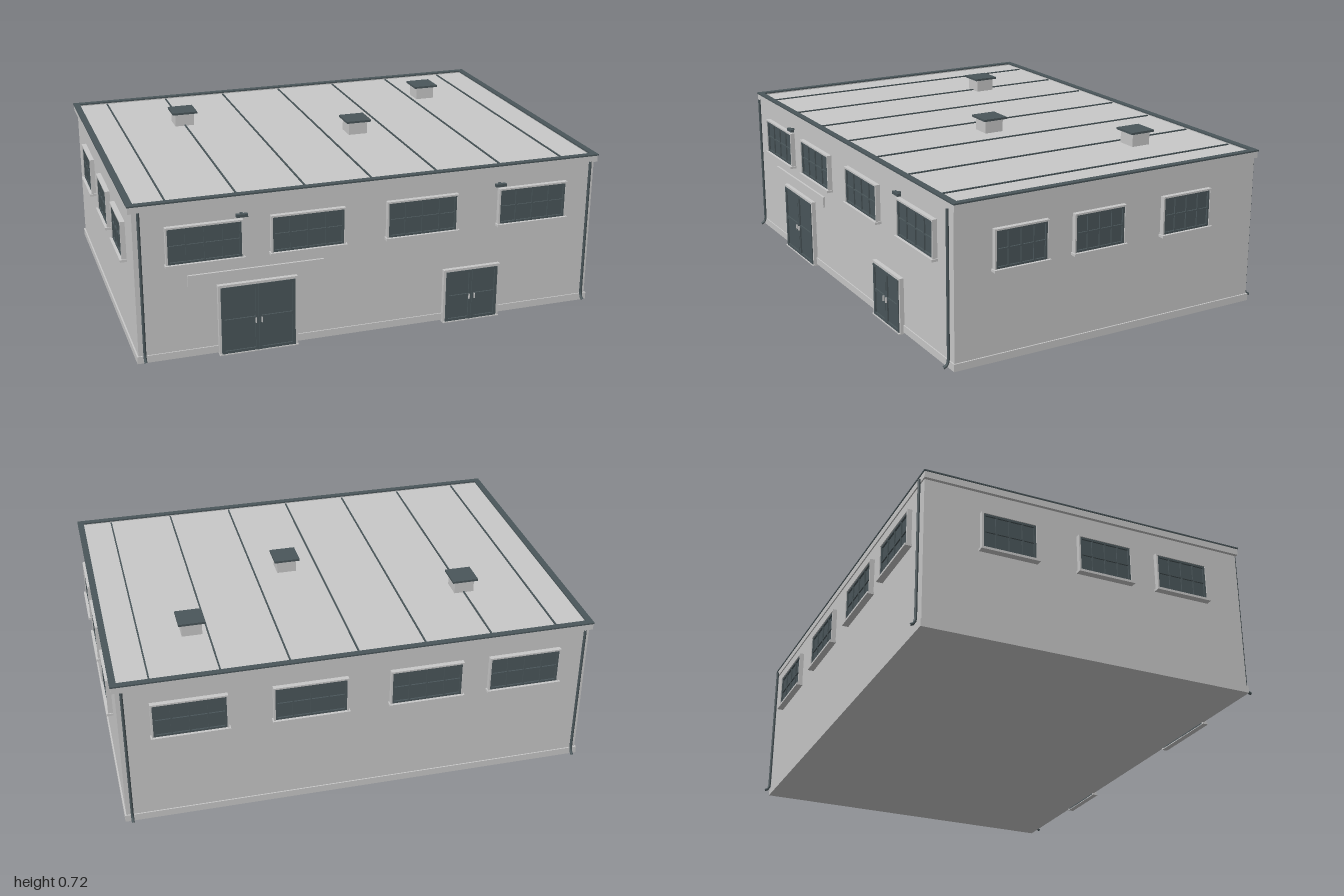
import * as THREE from 'three';

const W = 0.967, ZC = -0.008, D = 0.695; // wall half width, depth centre, half depth

const light = new THREE.MeshStandardMaterial({ color: 0xc8c8c8 });
light.name = 'pale render';
const dark = new THREE.MeshStandardMaterial({ color: 0x4a565a });
dark.name = 'slate metal';

// Box given by its low and high corners
function box(parent, name, mat, x0, x1, y0, y1, z0, z1) {
  const m = new THREE.Mesh(new THREE.BoxGeometry(x1 - x0, y1 - y0, z1 - z0), mat);
  m.position.set((x0 + x1) / 2, (y0 + y1) / 2, (z0 + z1) / 2);
  m.name = name;
  parent.add(m);
  return m;
}

// Four bars around an opening, standing on the local wall plane z = 0
function frame(parent, name, mat, w, h, t, depth) {
  const s = new THREE.Shape();
  const rect = (p, a, b) => p.moveTo(-a, -b).lineTo(a, -b).lineTo(a, b).lineTo(-a, b).closePath();
  rect(s, w / 2 + t, h / 2 + t);
  const hole = new THREE.Path();
  rect(hole, w / 2, h / 2);
  s.holes.push(hole);
  const m = new THREE.Mesh(new THREE.ExtrudeGeometry(s, { depth, bevelEnabled: false }), mat);
  m.name = name;
  parent.add(m);
}

// Window facing local +z, centred on the origin
function makeWindow(w, h) {
  const g = new THREE.Group();
  g.name = 'window';
  frame(g, 'windowSurround', light, w, h, 0.007, 0.02);
  box(g, 'glass', dark, -w / 2, w / 2, -h / 2, h / 2, 0, 0.009);
  frame(g, 'sash', dark, w - 0.016, h - 0.016, 0.008, 0.016);
  for (let i = 1; i < 4; i++) {
    const x = -w / 2 + (w * i) / 4;
    box(g, 'glazingBar', dark, x - 0.003, x + 0.003, -h / 2, h / 2, 0.009, 0.015);
  }
  box(g, 'glazingRail', dark, -w / 2, w / 2, -0.003, 0.003, 0.009, 0.015);
  box(g, 'sill', light, -w / 2 - 0.012, w / 2 + 0.012, -h / 2 - 0.01, -h / 2, 0, 0.028);
  return g;
}

// Double door facing local +z, standing on the origin
function makeDoor(w, h) {
  const g = new THREE.Group();
  g.name = 'doubleDoor';
  for (const s of [-1, 1]) {
    const x = s * (w / 2 + 0.005);
    box(g, 'jamb', light, x - 0.005, x + 0.005, 0, h + 0.01, 0, 0.018);
    const leaf = new THREE.Group();
    leaf.name = 'doorLeaf';
    leaf.position.x = (s * w) / 4;
    g.add(leaf);
    const a = w / 4 - 0.001;
    box(leaf, 'leafPanel', dark, -a, a, 0.003, h, 0, 0.014);
    for (const e of [-1, 1]) box(leaf, 'stile', dark, e * (a - 0.006) - 0.006, e * (a - 0.006) + 0.006, 0.003, h, 0.014, 0.021);
    for (const y of [0.009, h * 0.5, h - 0.006]) box(leaf, 'rail', dark, -a, a, y - 0.006, y + 0.006, 0.014, 0.02);
    box(g, 'handle', light, s * 0.012 - 0.002, s * 0.012 + 0.002, h * 0.43, h * 0.43 + 0.022, 0.021, 0.028);
  }
  box(g, 'lintel', light, -w / 2, w / 2, h, h + 0.01, 0, 0.018);
  box(g, 'threshold', light, -w / 2 - 0.01, w / 2 + 0.01, 0, 0.004, 0, 0.024);
  return g;
}

export function createModel() {
  const model = new THREE.Group();
  model.name = 'warehouse';

  // Shell, plinth and roof edge
  box(model, 'walls', light, -W, W, 0.008, 0.64, ZC - D, ZC + D);
  box(model, 'plinth', light, -W - 0.006, W + 0.006, 0.008, 0.038, ZC - D - 0.005, ZC + D + 0.005);
  box(model, 'roofDeck', light, -0.975, 0.975, 0.633, 0.655, ZC - 0.698, ZC + 0.698);
  for (const s of [-1, 1]) {
    const span = (c, a, b) => [Math.min(c + s * a, c + s * b), Math.max(c + s * a, c + s * b)];
    box(model, 'fasciaLong', light, -0.981, 0.981, 0.633, 0.66, ...span(ZC, 0.68, 0.7));
    box(model, 'fasciaShort', light, ...span(0, 0.96, 0.981), 0.633, 0.66, ZC - 0.68, ZC + 0.68);
    box(model, 'copingLong', dark, -0.984, 0.984, 0.66, 0.666, ...span(ZC, 0.677, 0.703));
    box(model, 'copingShort', dark, ...span(0, 0.957, 0.984), 0.66, 0.666, ZC - 0.677, ZC + 0.677);
  }

  // Standing seams on the roof
  for (let i = -3; i <= 3; i++) {
    const x = i * 0.277;
    box(model, 'roofSeam', dark, x - 0.003, x + 0.003, 0.655, 0.66, ZC - 0.67, ZC + 0.67);
  }

  // Roof vents
  for (const [x, z] of [[-0.555, -0.29], [0.137, 0.06], [0.62, -0.358]]) {
    const v = new THREE.Group();
    v.name = 'roofVent';
    v.position.set(x, 0, z);
    box(v, 'ventBody', light, -0.042, 0.042, 0.65, 0.71, -0.042, 0.042);
    box(v, 'ventCap', dark, -0.055, 0.055, 0.71, 0.719, -0.055, 0.055);
    model.add(v);
  }

  // Windows on all four walls
  for (const x of [-0.693, -0.277, 0.203, 0.688]) {
    for (const s of [-1, 1]) {
      const win = makeWindow(0.292, 0.146);
      win.position.set(x, 0.486, ZC + s * D);
      if (s < 0) win.rotation.y = Math.PI;
      model.add(win);
    }
  }
  for (const z of [0.408, 0.058, -0.356]) {
    for (const s of [-1, 1]) {
      const win = makeWindow(0.222, 0.15);
      win.position.set(s * W, 0.459, z);
      win.rotation.y = (s * Math.PI) / 2;
      model.add(win);
    }
  }

  // Doors, fascia board and lamps on the front
  const front = new THREE.Group();
  front.name = 'frontFittings';
  front.position.z = ZC + D;
  model.add(front);
  for (const [x, w, h] of [[-0.486, 0.304, 0.29], [0.428, 0.23, 0.226]]) {
    const d = makeDoor(w, h);
    d.position.x = x;
    front.add(d);
  }
  box(front, 'blankBoard', light, -0.763, -0.213, 0.307, 0.355, 0, 0.009);
  for (const x of [-0.545, 0.54]) {
    box(front, 'lampArm', dark, x - 0.006, x + 0.006, 0.582, 0.59, 0, 0.015);
    box(front, 'lampHead', dark, x - 0.023, x + 0.023, 0.577, 0.589, 0.008, 0.024);
  }

  // Downpipes with kicked-out feet at the corners
  for (const sx of [-1, 1]) {
    for (const sz of [-1, 1]) {
      const path = new THREE.CurvePath();
      const pts = [[0.64, 0.708], [0.045, 0.708], [0.028, 0.714], [0.02, 0.73]]
        .map(([y, z]) => new THREE.Vector3(sx * 0.944, y, ZC + sz * z));
      for (let i = 0; i < 3; i++) path.add(new THREE.LineCurve3(pts[i], pts[i + 1]));
      const pipe = new THREE.Mesh(new THREE.TubeGeometry(path, 40, 0.006, 8), dark);
      pipe.name = 'downpipe';
      model.add(pipe);
    }
  }
  return model;
}
